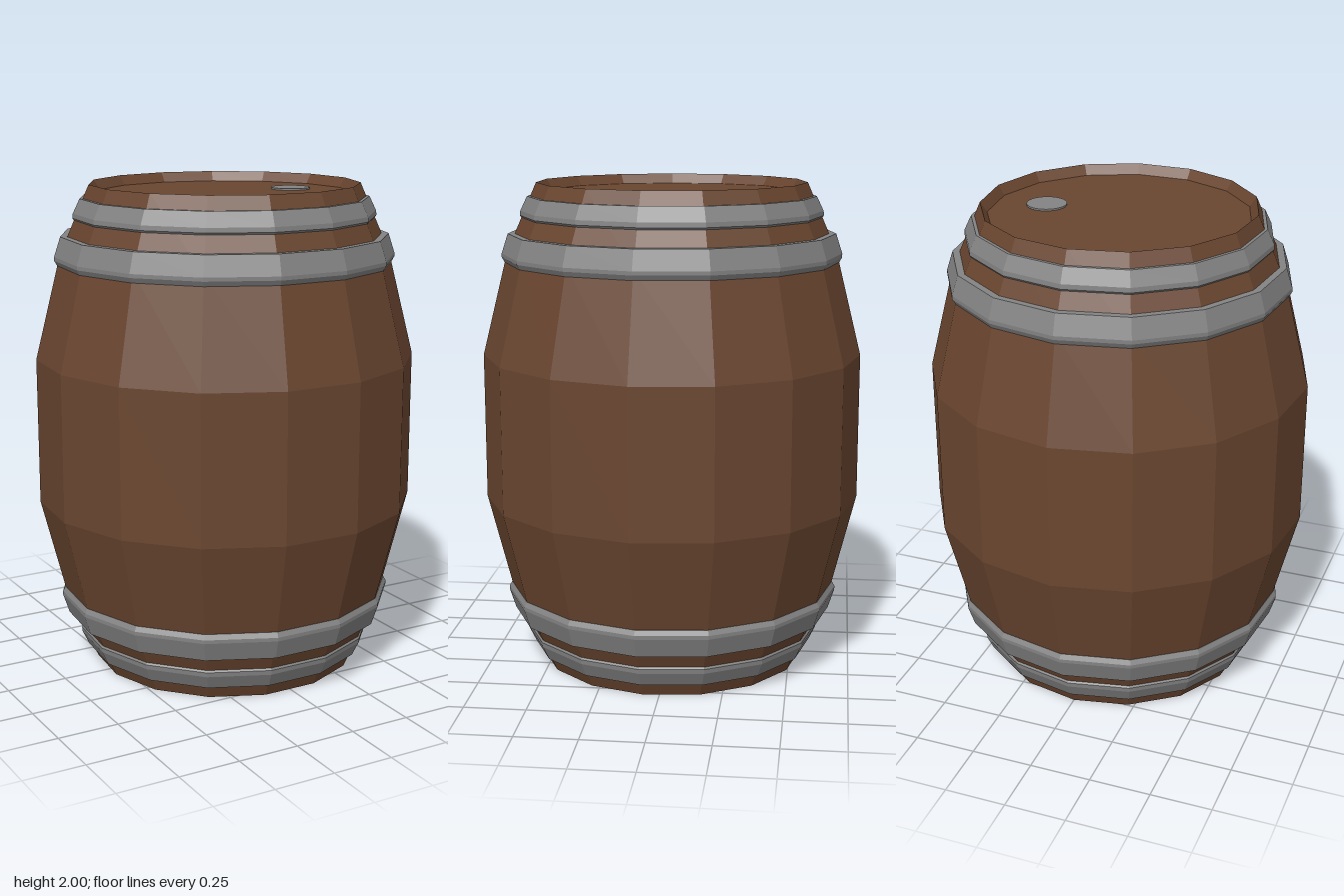
import * as THREE from 'three';

const SIDES = 15;

const wood = new THREE.MeshStandardMaterial({ color: 0x6a4630 });
wood.name = 'brown wood';
const iron = new THREE.MeshStandardMaterial({ color: 0x838383 });
iron.name = 'grey iron';

// Faceted solid of revolution with a corner at the back and a flat at the front
function turned(name, profile, material) {
  const points = profile.map(([r, y]) => new THREE.Vector2(r, y));
  const geometry = new THREE.LatheGeometry(points, SIDES, Math.PI).toNonIndexed();
  geometry.computeVertexNormals();
  const mesh = new THREE.Mesh(geometry, material);
  mesh.name = name;
  return mesh;
}

// Mirrors a bottom-half profile about mid height, keeping the winding
const mirrored = (profile) => profile.map(([r, y]) => [r, 2 - y]).reverse();

export function createModel() {
  const barrel = new THREE.Group();
  barrel.name = 'barrel';

  // Staves with a sharp bevelled rim around each end
  const lowerStaves = [[0.524, 0.04], [0.551, 0], [0.673, 0.28], [0.778, 0.7]];
  barrel.add(turned('staves', [...lowerStaves, ...mirrored(lowerStaves)], wood));

  // Recessed end boards
  barrel.add(turned('bottomBoard', [[0, 0.04], [0.524, 0.04]], wood));
  barrel.add(turned('lid', [[0.524, 1.96], [0, 1.96]], wood));

  // Hoops: a narrow one at each end and a wider one further in
  const hoops = {
    EndHoop: [[0.54, 0.055], [0.588, 0.055], [0.616, 0.113], [0.618, 0.132], [0.612, 0.14], [0.56, 0.14]],
    InnerHoop: [[0.61, 0.205], [0.669, 0.205], [0.695, 0.285], [0.695, 0.3], [0.684, 0.32], [0.64, 0.32]],
  };
  for (const [name, profile] of Object.entries(hoops)) {
    barrel.add(turned('lower' + name, profile, iron));
    barrel.add(turned('upper' + name, mirrored(profile), iron));
  }

  // Bung set in the lid
  const bung = new THREE.Mesh(new THREE.CylinderGeometry(0.081, 0.081, 0.008, 32), iron);
  bung.name = 'bung';
  bung.position.set(0.313, 1.963, 0.004);
  barrel.add(bung);

  // Centre the odd-sided outline on z
  barrel.position.z = 0.008;
  const model = new THREE.Group();
  model.name = 'barrelModel';
  model.add(barrel);
  return model;
}
